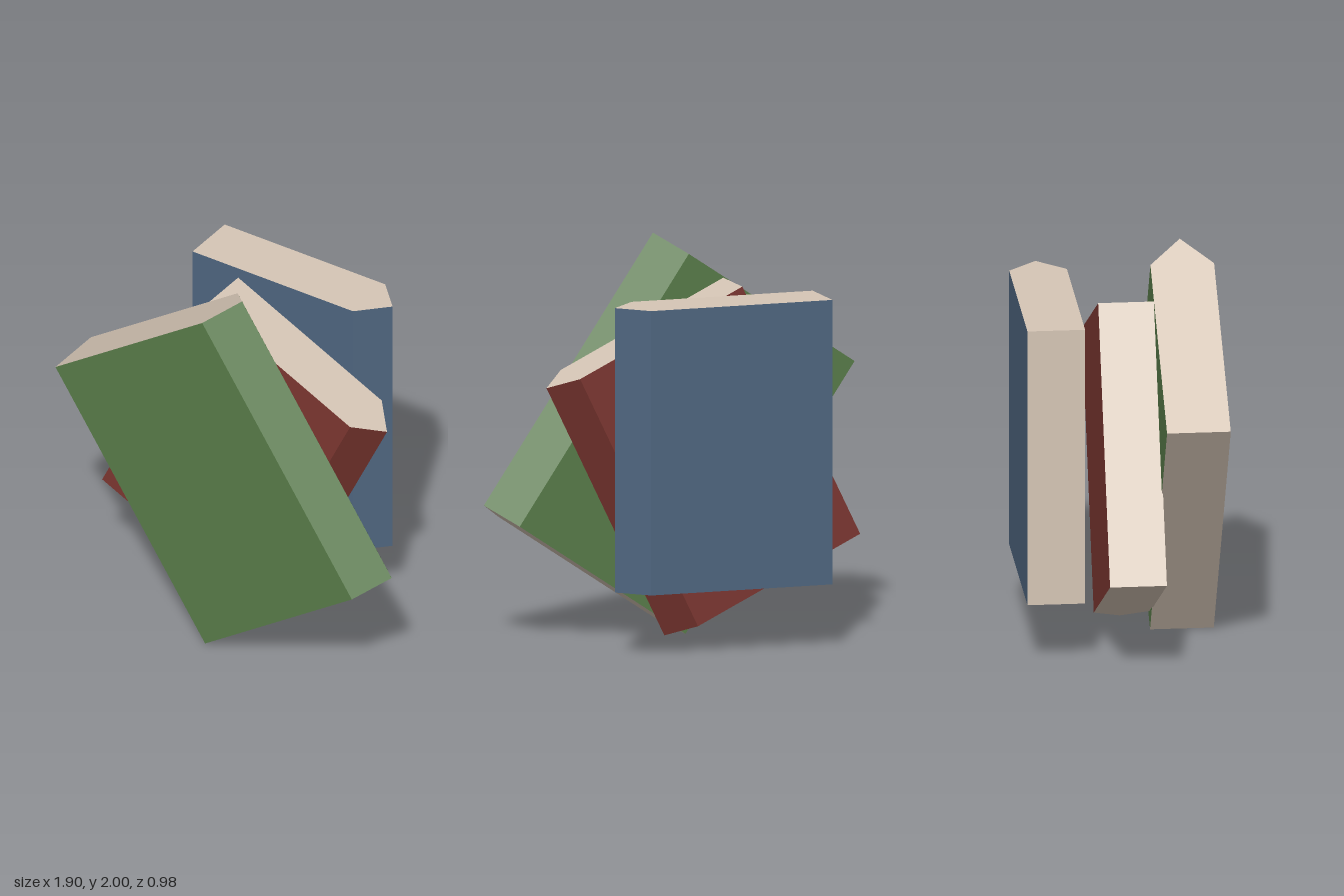
import * as THREE from 'three';
import { mergeGeometries } from 'three/addons/utils/BufferGeometryUtils.js';

// Upright flat walls along a path of [x, z] points, facing right of the path
function walls(path, height) {
  const positions = [];
  for (let i = 0; i < path.length - 1; i++) {
    const [ax, az] = path[i];
    const [bx, bz] = path[i + 1];
    positions.push(ax, 0, az, bx, 0, bz, bx, height, bz);
    positions.push(ax, 0, az, bx, height, bz, ax, height, az);
  }
  const geometry = new THREE.BufferGeometry();
  geometry.setAttribute('position', new THREE.Float32BufferAttribute(positions, 3));
  geometry.computeVertexNormals();
  return geometry;
}

// Flat end of the page block, in the horizontal plane
function pageEnd(path, angle, y) {
  const outline = new THREE.Shape(path.map(([x, z]) => new THREE.Vector2(x, z)));
  const geometry = new THREE.ShapeGeometry(outline).toNonIndexed();
  geometry.deleteAttribute('uv');
  return geometry.rotateX(angle).translate(0, y, 0);
}

function makeBook({ name, color, width, spine, height, thickness, position, tilt }) {
  const t = thickness / 2;
  const path = [[0, t], [width, t], [width + spine, 0], [width, -t], [0, -t]];
  const book = new THREE.Group();
  book.name = name;

  // Two boards joined by a pointed spine
  const cover = new THREE.Mesh(
    walls(path, height),
    new THREE.MeshStandardMaterial({ color, side: THREE.DoubleSide })
  );
  cover.name = 'cover';

  // Page edges: fore edge, top and bottom
  const pages = new THREE.Mesh(
    mergeGeometries([
      walls([path[4], path[0]], height),
      pageEnd(path, -Math.PI / 2, height),
      pageEnd(path, Math.PI / 2, 0),
    ]),
    new THREE.MeshStandardMaterial({ color: 0xd6c6b6, side: THREE.DoubleSide })
  );
  pages.name = 'pages';

  book.add(cover, pages);
  book.position.set(...position);
  book.rotation.z = tilt;
  return book;
}

export function createModel() {
  const model = new THREE.Group();
  model.name = 'books';
  const books = [
    { name: 'backBook', color: 0x4f6680, width: 0.955, spine: 0.14, height: 1.43,
      thickness: 0.287, position: [-0.595, 0.325, -0.345], tilt: 0 },
    { name: 'middleBook', color: 0x7d3731, width: 0.95, spine: 0.14, height: 1.422,
      thickness: 0.283, position: [-0.88, 0.5, 0.037], tilt: -0.452 },
    { name: 'frontBook', color: 0x587b49, width: 1.054, spine: 0.159, height: 1.592,
      thickness: 0.317, position: [-0.06, 0, 0.331], tilt: 0.594 },
  ];
  for (const spec of books) model.add(makeBook(spec));
  return model;
}
